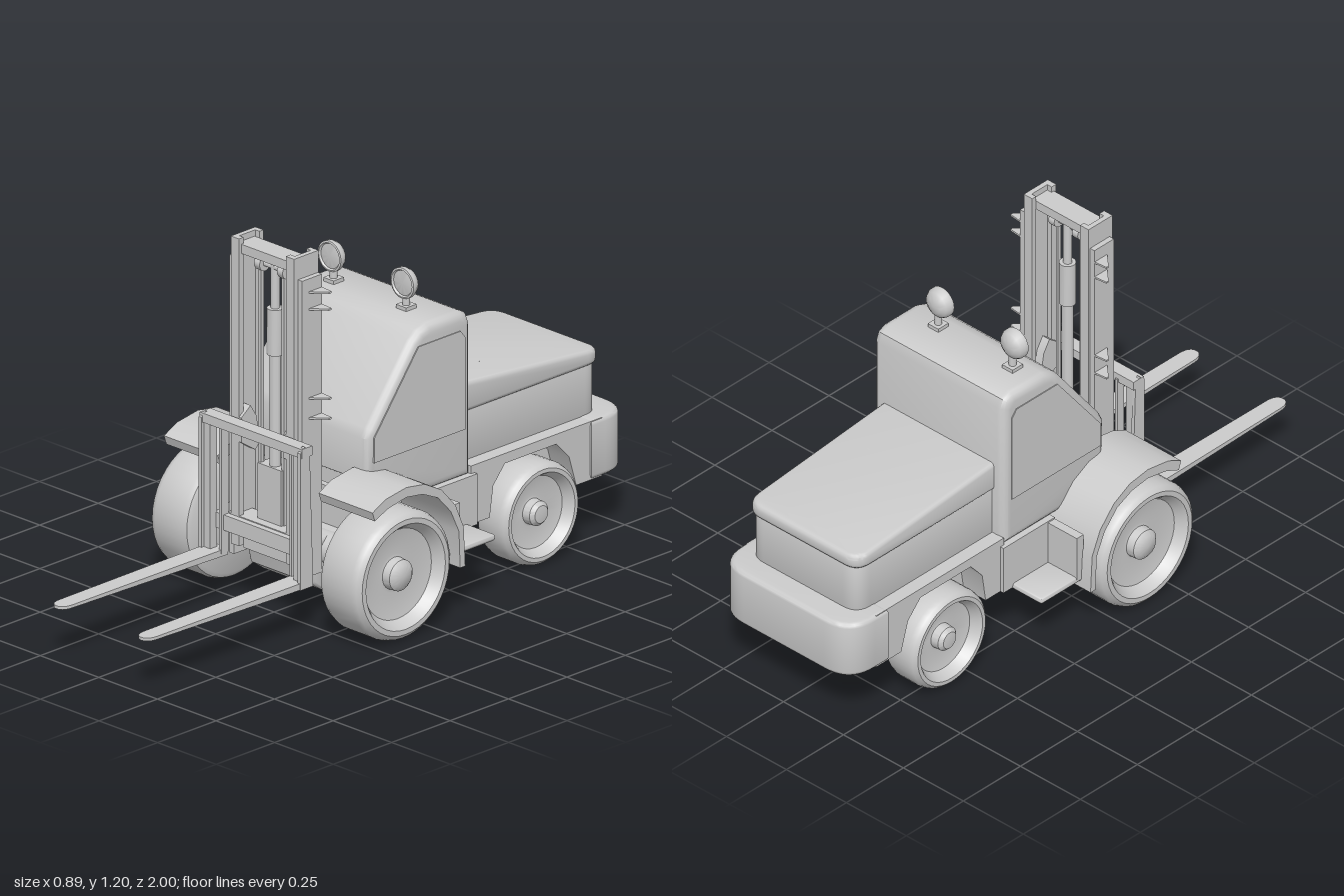
import * as THREE from 'three';
import { toCreasedNormals } from 'three/addons/utils/BufferGeometryUtils.js';
import { RoundedBoxGeometry } from 'three/addons/geometries/RoundedBoxGeometry.js';

const material = new THREE.MeshStandardMaterial({ color: 0xcccccc, side: THREE.DoubleSide });

export function createModel() {
  const model = new THREE.Group();

  const add = (name, geometry, crease = 0.6) => {
    const mesh = new THREE.Mesh(toCreasedNormals(geometry, crease), material);
    mesh.name = name;
    model.add(mesh);
    return mesh;
  };
  // Box given by its limits on each axis
  const box = (name, x0, x1, y0, y1, z0, z1) =>
    add(name, new THREE.BoxGeometry(x1 - x0, y1 - y0, z1 - z0)
      .translate((x0 + x1) / 2, (y0 + y1) / 2, (z0 + z1) / 2));
  const cylinder = (name, r, y0, y1, x, z) =>
    add(name, new THREE.CylinderGeometry(r, r, y1 - y0, 20).translate(x, (y0 + y1) / 2, z));
  // Cylinder lying along x
  const crossCylinder = (name, r, x0, x1, y, z) =>
    add(name, new THREE.CylinderGeometry(r, r, x1 - x0, 20).rotateZ(Math.PI / 2).translate((x0 + x1) / 2, y, z));
  // Side profile of [z, y] points extruded from x0 to x1; bevel stays inside the limits in x
  const sideExtrude = (name, points, x0, x1, bevel = 0) => {
    const shape = new THREE.Shape(points.map(([z, y]) => new THREE.Vector2(z, y)));
    const geometry = new THREE.ExtrudeGeometry(shape, {
      depth: x1 - x0 - 2 * bevel, bevelEnabled: bevel > 0,
      bevelSize: bevel, bevelThickness: bevel, bevelOffset: -bevel, bevelSegments: 4,
    });
    return add(name, geometry.rotateY(-Math.PI / 2).translate(x1 - bevel, 0, 0));
  };
  // Plan with rounded rear corners, extruded from y0 to y1
  const planExtrude = (w, zRear, zFront, r, y0, y1, bevel) => {
    const s = new THREE.Shape();
    s.moveTo(-w, -zFront);
    s.lineTo(w, -zFront);
    s.lineTo(w, -zRear - r);
    s.quadraticCurveTo(w, -zRear, w - r, -zRear);
    s.lineTo(r - w, -zRear);
    s.quadraticCurveTo(-w, -zRear, -w, -zRear - r);
    return new THREE.ExtrudeGeometry(s, {
      depth: y1 - y0 - 2 * bevel, bevelSize: bevel, bevelThickness: bevel,
      bevelOffset: -bevel, bevelSegments: 3, curveSegments: 10,
    }).rotateX(-Math.PI / 2).translate(0, y0 + bevel, 0);
  };

  // Cab with sloping front
  sideExtrude('cab', [[0.12, 0.46], [0.125, 0.6], [0.11, 0.63], [-0.07, 0.865], [-0.1, 0.89], [-0.14, 0.905],
    [-0.28, 0.905], [-0.31, 0.89], [-0.322, 0.86], [-0.322, 0.36], [-0.05, 0.36]], -0.275, 0.275, 0.03);
  for (const s of [-1, 1]) {
    sideExtrude('cabSidePanel', [[0.1, 0.52], [0.1, 0.6], [-0.09, 0.845], [-0.27, 0.845], [-0.29, 0.82], [-0.29, 0.52]],
      s * 0.275 - 0.003, s * 0.275 + 0.003);
  }

  // Chassis and underbody
  box('chassis', -0.2, 0.2, 0.2, 0.48, -0.34, 0.09);
  box('chassisMiddle', -0.285, 0.285, 0.2, 0.365, -0.335, -0.11);
  box('rearChassis', -0.18, 0.18, 0.17, 0.38, -0.86, -0.33);
  sideExtrude('bellyPlate', [[0.1, 0.12], [-0.06, 0.14], [-0.16, 0.17], [-0.16, 0.21], [0.1, 0.21]], -0.18, 0.18);
  sideExtrude('axleHousing', [[0.24, 0.2], [0.22, 0.12], [0.17, 0.085], [0.06, 0.085], [0, 0.14], [0, 0.26], [0.2, 0.26]],
    -0.135, 0.135, 0.012);
  crossCylinder('frontAxle', 0.052, -0.3, 0.3, 0.21, 0.135);
  crossCylinder('rearAxle', 0.04, -0.2, 0.2, 0.165, -0.59);

  // Rear body: arches over the wheels, then the counterweight
  sideExtrude('rearArches', [[-0.32, 0.2], [-0.4, 0.2], [-0.415, 0.3], [-0.465, 0.358], [-0.685, 0.358], [-0.74, 0.3],
    [-0.77, 0.2], [-0.88, 0.2], [-0.88, 0.39], [-0.32, 0.39]], -0.272, 0.272);
  add('counterweight', planExtrude(0.277, -1, -0.83, 0.11, 0.2, 0.392, 0.015));

  // Hood and its sloping lid
  add('hood', planExtrude(0.225, -0.915, -0.31, 0.06, 0.38, 0.56, 0.005));
  const lid = planExtrude(0.233, -0.922, -0.31, 0.06, 0.548, 0.65, 0.015);
  const p = lid.attributes.position;
  for (let i = 0; i < p.count; i++) {
    if (p.getY(i) > 0.6) p.setY(i, p.getY(i) + 0.09 * (p.getZ(i) + 0.31));
  }
  lid.computeVertexNormals();
  add('hoodLid', lid);
  for (const x of [-0.11, 0.11]) box('hoodCatch', x - 0.004, x + 0.004, 0.61, 0.632, -0.515, -0.49);

  // Wheels: tyre, dished rim and hub in one turned profile
  const wheel = (name, r, w, x, y, z, side) => {
    const h = w / 2;
    const profile = [[0, -h], [r * 0.9, -h], [r * 0.97, -h + 0.008], [r, -h + 0.025], [r, h - 0.03], [r * 0.97, h - 0.012],
      [r * 0.9, h], [r * 0.82, h], [r * 0.77, h - 0.012], [r * 0.7, h - 0.035], [r * 0.3, h - 0.05],
      [r * 0.25, h - 0.048], [r * 0.24, h - 0.02], [r * 0.17, h - 0.008], [0, h - 0.004]];
    add(name, new THREE.LatheGeometry(profile.map(([a, b]) => new THREE.Vector2(a, b)), 40)
      .rotateZ(-side * Math.PI / 2).translate(x, y, z));
  };
  for (const s of [-1, 1]) {
    wheel('frontWheel', 0.207, 0.168, s * 0.363, 0.207, 0.135, s);
    wheel('rearWheel', 0.165, 0.127, s * 0.248, 0.165, -0.59, s);

    // Front fender and step behind it
    const [a, b] = s > 0 ? [0.215, 0.445] : [-0.445, -0.215];
    sideExtrude('frontFender', [[0.275, 0.455], [0.22, 0.483], [0.13, 0.497], [0.05, 0.485], [-0.02, 0.447], [-0.08, 0.38],
      [-0.115, 0.3], [-0.122, 0.17], [-0.1, 0.17], [-0.095, 0.29], [-0.06, 0.365], [-0.005, 0.425], [0.06, 0.455],
      [0.13, 0.465], [0.21, 0.45], [0.265, 0.425]], a, b);
    const step = new RoundedBoxGeometry(0.18, 0.022, 0.2, 3, 0.01);
    add('step', step.translate(s * 0.315, 0.203, -0.195));
    box('stepRiser', s * 0.335 - 0.07, s * 0.335 + 0.07, 0.2, 0.36, -0.14, -0.11);
  }

  // Work lights on the roof
  for (const x of [-0.177, 0.133]) {
    box('lightBase', x - 0.022, x + 0.022, 0.9, 0.917, -0.205, -0.16);
    cylinder('lightStem', 0.012, 0.91, 0.96, x, -0.182);
    const lamp = [[0, -0.024], [0.025, -0.02], [0.042, -0.01], [0.05, 0.004], [0.05, 0.018], [0.044, 0.02], [0.04, 0.014], [0, 0.017]];
    add('lightHead', new THREE.LatheGeometry(lamp.map(([r, h]) => new THREE.Vector2(r, h)), 20)
      .rotateX(Math.PI / 2).translate(x, 0.99, -0.182));
  }

  // Mast: outer channel and taller inner channel on each side
  for (const s of [-1, 1]) {
    const bar = (name, x0, x1, ...rest) => box(name, Math.min(s * x0, s * x1), Math.max(s * x0, s * x1), ...rest);
    bar('outerRail', 0.137, 0.155, 0.16, 1.13, 0.2, 0.285);
    bar('innerRailWeb', 0.118, 0.135, 0.2, 1.2, 0.2, 0.3);
    bar('innerRailFrontFlange', 0.1, 0.135, 0.2, 1.2, 0.28, 0.3);
    bar('innerRailRearFlange', 0.1, 0.135, 0.2, 1.2, 0.195, 0.212);
    // Triangular side fins
    for (const y of [0.675, 0.74, 1.03, 1.085]) {
      const fin = new THREE.Shape([[0.15, -0.26], [0.2, -0.215], [0.2, -0.205], [0.15, -0.2]]
        .map(([x, z]) => new THREE.Vector2(s * x, z)));
      add('mastFin', new THREE.ExtrudeGeometry(fin, { depth: 0.006, bevelEnabled: false })
        .rotateX(-Math.PI / 2).translate(0, y - 0.003, 0));
    }
    // Lift chain, pulley and carriage guide
    bar('liftChain', 0.044, 0.054, 0.24, 1.13, 0.25, 0.262);
    crossCylinder('chainPulley', 0.025, s * 0.049 - 0.012, s * 0.049 + 0.012, 1.125, 0.25);
    sideExtrude('carriageGuide', [[0.3, 0.54], [0.24, 0.5], [0.22, 0.52], [0.235, 0.61], [0.26, 0.65], [0.3, 0.62]],
      s * 0.108 - 0.018, s * 0.108 + 0.018);
    // Carriage post with fork
    bar('carriagePost', 0.178, 0.205, 0.16, 0.6, 0.315, 0.345);
    sideExtrude('carriageFlange', [[0.3, 0.16], [0.355, 0.16], [0.355, 0.605], [0.335, 0.622], [0.315, 0.6]],
      s * 0.211 - 0.006, s * 0.211 + 0.006);
    bar('carriageInnerBar', 0.145, 0.155, 0.17, 0.6, 0.3, 0.33);
    const fork = new THREE.Shape();
    fork.moveTo(-0.034, -0.3);
    fork.lineTo(0.034, -0.3);
    fork.lineTo(0.029, -0.96);
    fork.quadraticCurveTo(0.027, -1, 0, -1);
    fork.quadraticCurveTo(-0.027, -1, -0.029, -0.96);
    const blade = new THREE.ExtrudeGeometry(fork, { depth: 0.022, bevelEnabled: false }).rotateX(-Math.PI / 2);
    const q = blade.attributes.position;
    // Underside rises toward the tip
    for (let i = 0; i < q.count; i++) if (q.getY(i) < 0.01 && q.getZ(i) > 0.9) q.setY(i, 0.012);
    blade.computeVertexNormals();
    add('fork', blade.translate(s * 0.181, 0.16, 0));
  }
  box('mastTopBar', -0.12, 0.12, 1.15, 1.18, 0.215, 0.29);
  crossCylinder('pulleyShaft', 0.009, -0.065, 0.065, 1.125, 0.25);
  cylinder('liftRod', 0.014, 0.95, 1.155, 0, 0.245);
  cylinder('liftSleeve', 0.026, 0.84, 0.99, 0, 0.245);
  cylinder('liftCylinder', 0.018, 0.3, 0.86, 0, 0.245);
  box('cylinderMount', -0.05, 0.05, 0.29, 0.478, 0.19, 0.27);
  box('mastRearBar', -0.18, 0.18, 0.4, 0.43, 0.15, 0.172);
  box('mastLowerBar', -0.15, 0.15, 0.24, 0.298, 0.225, 0.3);
  box('mastFoot', -0.1, 0.1, 0.19, 0.236, 0.2, 0.28);
  box('carriageTopBar', -0.218, 0.218, 0.588, 0.618, 0.305, 0.35);
  box('carriageBottomBar', -0.2, 0.2, 0.245, 0.295, 0.3, 0.32);

  return model;
}
